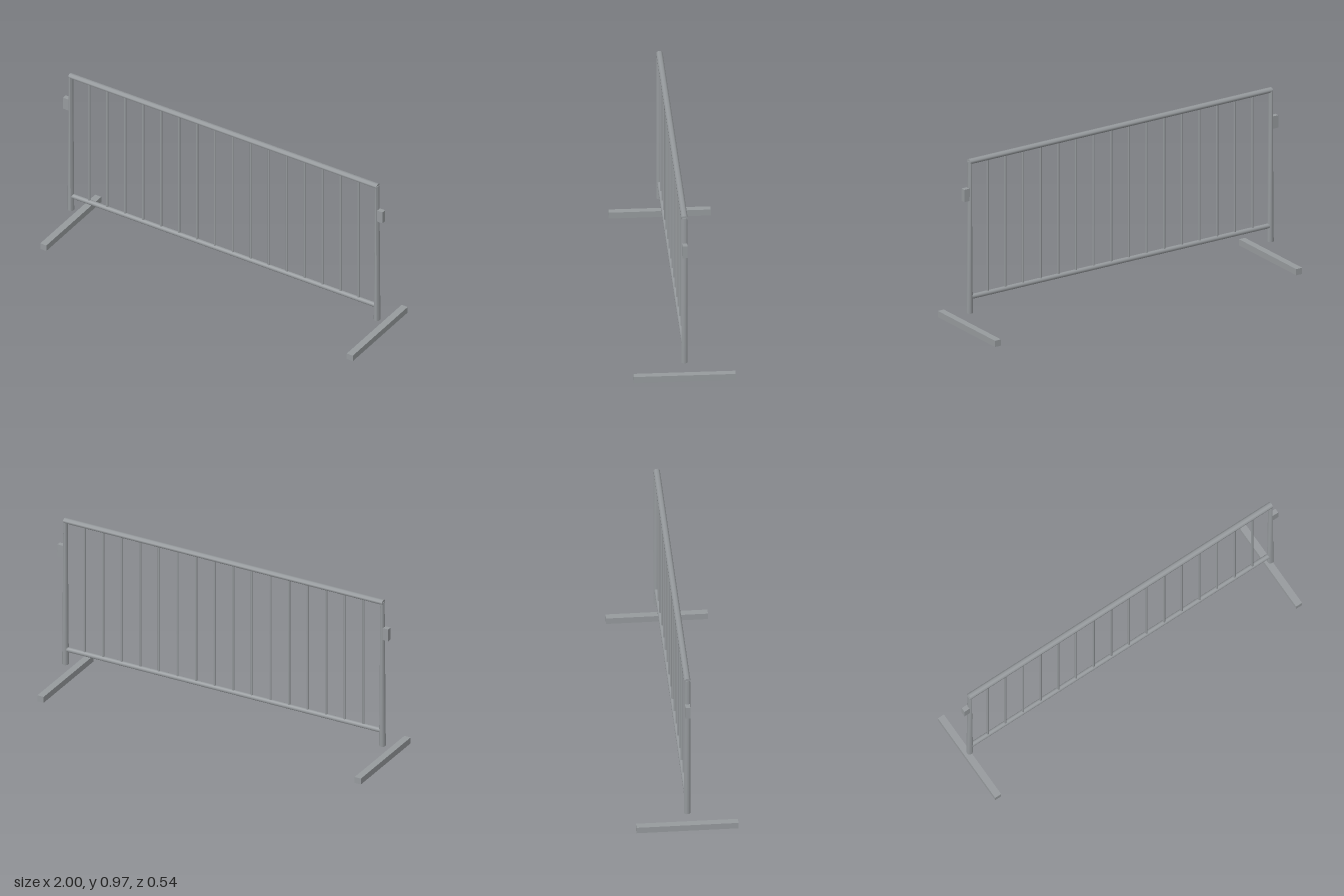
import * as THREE from 'three';

const steel = new THREE.MeshStandardMaterial({ color: 0x969a9d });
steel.name = 'galvanised steel';

export function createModel() {
  const model = new THREE.Group();
  model.name = 'crowdBarrier';

  const add = (name, geometry, x, y, z = 0) => {
    const mesh = new THREE.Mesh(geometry, steel);
    mesh.name = name;
    mesh.position.set(x, y, z);
    model.add(mesh);
    return mesh;
  };
  // Upright tube with a flat facet on each axis
  const tube = (radius, length, sides = 8) =>
    new THREE.CylinderGeometry(radius, radius, length, sides, 1, false, Math.PI / sides);

  // Top rail, slightly flattened in height
  const topRail = tube(0.018, 1.928);
  topRail.rotateZ(Math.PI / 2).scale(1, 0.8, 1);
  add('topRail', topRail, 0, 0.958);

  // Bottom rail between the posts
  const bottomRail = tube(0.0135, 1.9, 12);
  bottomRail.rotateZ(Math.PI / 2);
  add('bottomRail', bottomRail, 0, 0.194);

  // Thin vertical bars
  const bar = tube(0.0065, 0.764);
  for (let i = 0; i < 16; i++) add('bar', bar, -0.843 + i * 0.1124, 0.576);

  // End post narrows sideways towards the top rail
  const bottom = 0.105, top = 0.96;
  const post = tube(0.018, top - bottom);
  const p = post.attributes.position;
  for (let i = 0; i < p.count; i++) {
    if (p.getY(i) > 0) p.setX(i, p.getX(i) * 0.56);
  }
  post.computeVertexNormals();

  const clip = new THREE.BoxGeometry(0.036, 0.07, 0.026);
  const foot = new THREE.BoxGeometry(0.038, 0.035, 0.54);
  for (const side of [-1, 1]) {
    add('endPost', post, side * 0.958, (bottom + top) / 2);
    add('linkClip', clip, side * 0.982, 0.776);
    add('foot', foot, side * 0.959, 0.0175);
  }
  return model;
}
